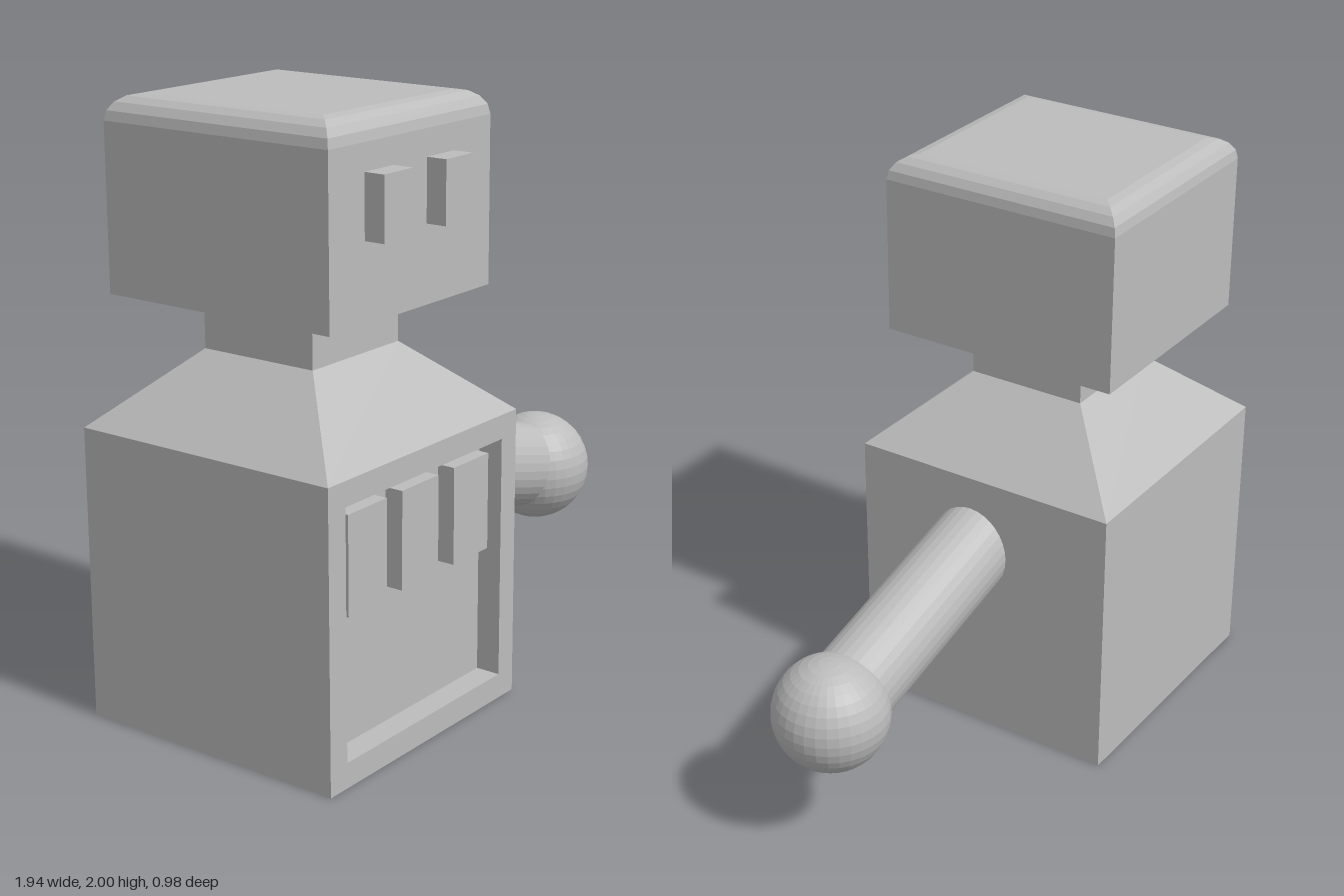
import * as THREE from 'three';

const grey = new THREE.MeshStandardMaterial({ color: 0xbcbcbc, flatShading: true });
grey.name = 'plain grey';

// Closed loft through rectangles [x0, x1, z0, z1, y], listed from bottom to top
function rectLoft(sections) {
  const pos = [];
  const rings = sections.map(([x0, x1, z0, z1, y]) =>
    [[x0, y, z1], [x1, y, z1], [x1, y, z0], [x0, y, z0]]);
  const quad = (a, b, c, d) => pos.push(...a, ...b, ...c, ...a, ...c, ...d);
  for (let s = 0; s < rings.length - 1; s++) {
    const a = rings[s], b = rings[s + 1];
    for (let i = 0; i < 4; i++) {
      const j = (i + 1) % 4;
      quad(a[i], a[j], b[j], b[i]);
    }
  }
  const first = rings[0], last = rings[rings.length - 1];
  quad(first[3], first[2], first[1], first[0]);
  quad(last[0], last[1], last[2], last[3]);
  const geo = new THREE.BufferGeometry();
  geo.setAttribute('position', new THREE.Float32BufferAttribute(pos, 3));
  geo.computeVertexNormals();
  return geo;
}

export function createModel() {
  const model = new THREE.Group();
  model.name = 'robot';

  const add = (name, geo) => {
    const mesh = new THREE.Mesh(geo, grey);
    mesh.name = name;
    model.add(mesh);
    return mesh;
  };
  const addBox = (name, x0, x1, y0, y1, z0, z1) =>
    add(name, new THREE.BoxGeometry(x1 - x0, y1 - y0, z1 - z0))
      .position.set((x0 + x1) / 2, (y0 + y1) / 2, (z0 + z1) / 2);

  // Body with a recessed chest panel, lofted from back to front
  const body = rectLoft([
    [-0.973, -0.01, -0.97, 0, -0.488],
    [-0.973, -0.01, -0.97, 0, 0.475],
    [-0.893, -0.09, -0.89, -0.083, 0.475],
    [-0.893, -0.09, -0.89, -0.083, 0.39],
  ]);
  add('body', body.rotateX(Math.PI / 2));

  // Sloping shoulders running into the square neck
  add('shouldersAndNeck', rectLoft([
    [-0.973, -0.01, -0.488, 0.475, 0.97],
    [-0.705, -0.28, -0.218, 0.207, 1.21],
    [-0.705, -0.28, -0.218, 0.207, 1.388],
  ]));

  // Head with rounded, mitred top edges
  const r = 0.08, steps = 4;
  const head = [[-0.89, -0.095, -0.435, 0.42, 1.387]];
  for (let i = 0; i <= steps; i++) {
    const a = (i / steps) * Math.PI / 2;
    const inset = r * (1 - Math.cos(a));
    head.push([-0.89 + inset, -0.095 - inset, -0.435 + inset, 0.42 - inset, 2 - r + r * Math.sin(a)]);
  }
  add('head', rectLoft(head));

  // Eyes
  for (const x of [-0.725, -0.424]) addBox('eye', x, x + 0.137, 1.635, 1.835, 0.41, 0.49);

  // Chest buttons
  for (const x of [-0.852, -0.588, -0.318]) addBox('chestButton', x, x + 0.187, 0.53, 0.85, 0.38, 0.452);

  // Single arm, slightly oval, ending in a ball hand
  const shoulder = new THREE.Vector3(-0.07, 0.713, 0.039);
  const hand = new THREE.Vector3(0.777, 0.49, 0.043);
  const length = shoulder.distanceTo(hand);
  const arm = add('arm', new THREE.CylinderGeometry(0.152, 0.152, length, 32));
  arm.scale.z = 0.94;
  arm.position.lerpVectors(shoulder, hand, 0.5);
  arm.quaternion.setFromUnitVectors(
    new THREE.Vector3(0, 1, 0), hand.clone().sub(shoulder).normalize());
  add('hand', new THREE.SphereGeometry(0.193, 32, 18)).position.copy(hand);

  return model;
}
